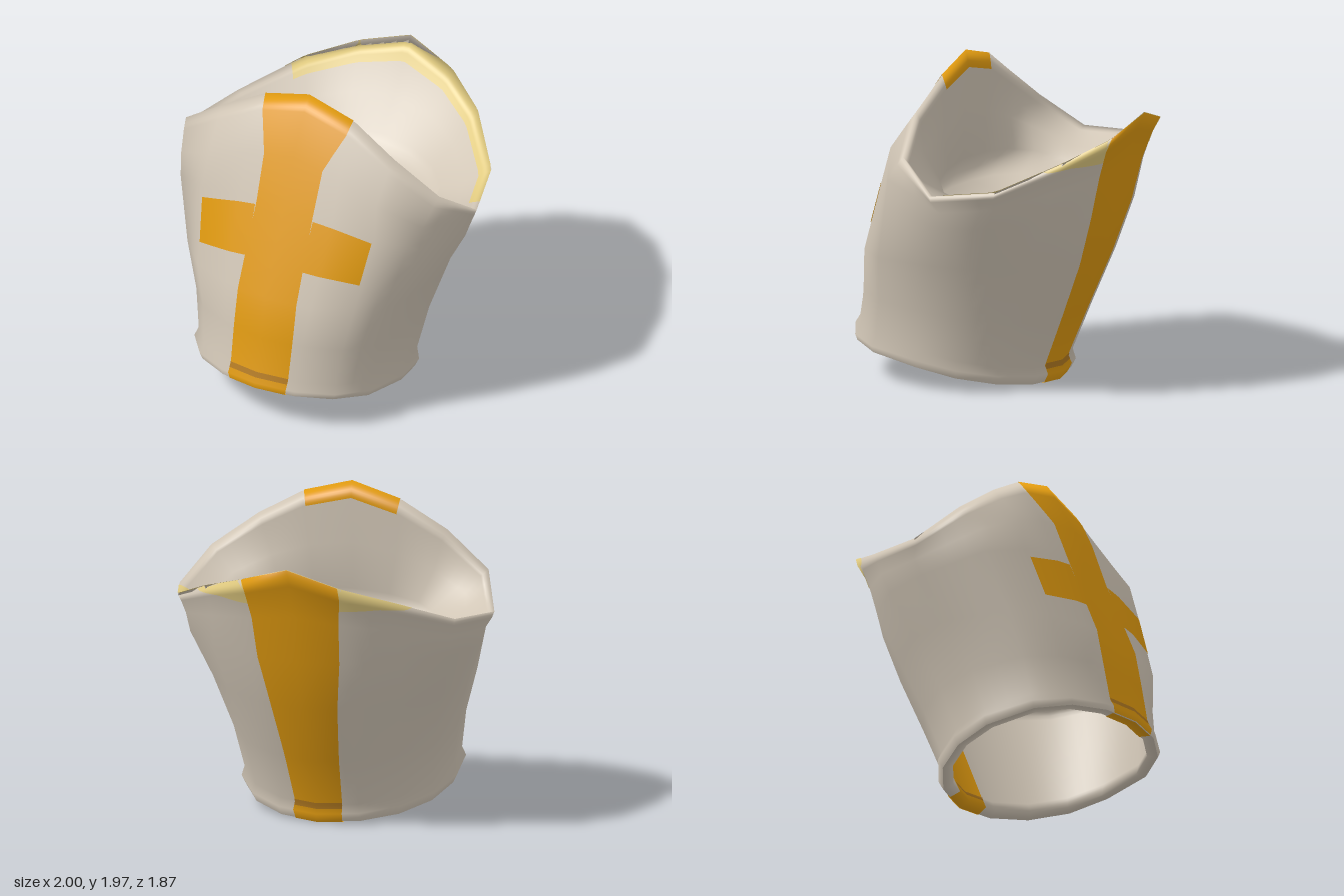
import * as THREE from 'three';

const N = 16; // sides of every ring; u = 0 front, 4 left, 8 back, 12 right
const { lerp } = THREE.MathUtils;

// Rim outline from front to back, as fractions of a ring's width, depth and rise
const RIM_X = [0, 0.32, 0.6, 0.88, 1, 0.88, 0.6, 0.32, 0];
const RIM_Z = [1, 1, 1.07, 0.86, 0, 0.41, 0.75, 0.94, 1];
const RIM_Y = [1, 0.86, 0.61, 0.29, 0, 0.1, 0.48, 0.74, 1];

// Ring: rim-likeness t, half width, side y/z, front y/z, back y/z
function ring([t, w, ys, zs, yf, zf, yb, zb]) {
  return Array.from({ length: N }, (_, i) => {
    const k = i > 8 ? N - i : i, a = (k * Math.PI) / 8, front = k <= 4;
    const c = Math.abs(Math.cos(a)) ** (front ? 0.75 : 1); // fuller at the front corners
    const x = w * lerp(Math.sin(a), RIM_X[k], t) * (i > 8 ? -1 : 1);
    const y = lerp(ys, front ? yf : yb, lerp(c, RIM_Y[k], t));
    const z = lerp(zs, front ? zf : zb, lerp(c, RIM_Z[k], t));
    return new THREE.Vector3(x, y, z);
  });
}

// Shell through the rings, sampled at (u, v) with smooth normals
function makeShell(rows) {
  const pts = rows.map(ring), pos = [], idx = [];
  pts.flat().forEach((p) => pos.push(p.x, p.y, p.z));
  for (let r = 0; r < rows.length - 1; r++) {
    for (let i = 0; i < N; i++) {
      const a = r * N + i, b = r * N + ((i + 1) % N);
      idx.push(a, b, b + N, a, b + N, a + N);
    }
  }
  const g = new THREE.BufferGeometry();
  g.setAttribute('position', new THREE.Float32BufferAttribute(pos, 3));
  g.setIndex(idx);
  g.computeVertexNormals();
  const pick = (attr, u, v) => {
    const uu = ((u % N) + N) % N, i = Math.floor(uu) % N, j = (i + 1) % N;
    const r = Math.min(Math.floor(v), rows.length - 2);
    const at = (row, col) => new THREE.Vector3().fromBufferAttribute(attr, row * N + col);
    const f = uu - Math.floor(uu);
    return at(r, i).lerp(at(r, j), f).lerp(at(r + 1, i).lerp(at(r + 1, j), f), v - r);
  };
  const sample = (u, v, lift) => {
    const n = pick(g.attributes.normal, u, v).normalize();
    return [pick(g.attributes.position, u, v).addScaledVector(n, lift), n];
  };
  return { sample, last: rows.length - 1 };
}

// Patch of a shell; map(s, t) gives [u, v] for s and t in 0..1
function patch(shell, map, ns, nt, lift = 0) {
  const pos = [], nor = [], idx = [];
  for (let j = 0; j <= nt; j++) {
    for (let i = 0; i <= ns; i++) {
      const [p, n] = shell.sample(...map(i / ns, j / nt), lift);
      pos.push(p.x, p.y, p.z);
      nor.push(n.x, n.y, n.z);
      if (i < ns && j < nt) {
        const a = j * (ns + 1) + i, b = a + ns + 1;
        idx.push(a, a + 1, b + 1, a, b + 1, b);
      }
    }
  }
  const g = new THREE.BufferGeometry();
  g.setAttribute('position', new THREE.Float32BufferAttribute(pos, 3));
  g.setAttribute('normal', new THREE.Float32BufferAttribute(nor, 3));
  g.setIndex(idx);
  return g;
}

// Stripe around column uc whose half width (in columns) is listed per row
const stripe = (uc, v0, v1, widths) => (s, t) => {
  const v = lerp(v0, v1, t), r = Math.min(Math.floor(v), widths.length - 2);
  return [uc + (2 * s - 1) * lerp(widths[r], widths[r + 1], v - r), v];
};

export function createModel() {
  const group = new THREE.Group();
  const mat = (name, color) =>
    Object.assign(new THREE.MeshStandardMaterial({ color, side: THREE.DoubleSide }), { name });
  const cloth = mat('warmGrey', 0xd0c5b5);
  const orange = mat('orange', 0xe09a10);
  const pale = mat('paleYellow', 0xe0ca80);
  const brown = mat('darkOrange', 0xb57c22);
  const add = (name, geometry, material) => {
    const m = new THREE.Mesh(geometry, material);
    m.name = name;
    group.add(m);
  };

  const bottom = [0, 0.64, 0.14, 0.28, 0.235, 0.925, 0.005, -0.355];

  // Outer wall (0-8), rim bevel (8-9) and the hollow inside the top (9-13)
  const outer = makeShell([
    bottom,
    [0, 0.665, 0.19, 0.28, 0.27, 0.93, 0.06, -0.385],
    [0, 0.645, 0.25, 0.27, 0.32, 0.9, 0.11, -0.36],
    [0.05, 0.69, 0.5, 0.21, 0.55, 0.855, 0.42, -0.49],
    [0.2, 0.79, 0.82, 0.1, 0.8, 0.8, 0.78, -0.64],
    [0.5, 0.92, 1.1, 0, 1.32, 0.58, 1.1, -0.745],
    [0.85, 0.945, 1.2, -0.04, 1.62, 0.47, 1.4, -0.81],
    [1, 0.985, 1.27, 0, 1.87, 0.335, 1.61, -0.875],
    [1, 1.0, 1.31, 0, 1.96, 0.28, 1.72, -0.93],
    [1, 0.95, 1.29, 0, 1.86, 0.262, 1.63, -0.87],
    [0.8, 0.83, 1.22, -0.02, 1.58, 0.29, 1.4, -0.74],
    [0.2, 0.64, 1.18, -0.1, 1.29, 0.29, 1.22, -0.57],
    [0.2, 0.6, 1.08, -0.08, 1.1, 0.38, 1.08, -0.48],
    [0, 0, 1.08, -0.08, 1.08, -0.08, 1.08, -0.08],
  ]);

  // Lining of the lower opening, from its ceiling down to the lip
  const lining = makeShell([
    [0, 0, 1.0, 0, 1.0, 0, 1.0, 0],
    [0.35, 0.83, 0.95, 0.03, 1.0, 0.68, 0.95, -0.67],
    [0.2, 0.765, 0.82, 0.1, 0.8, 0.775, 0.78, -0.61],
    [0.05, 0.665, 0.5, 0.21, 0.55, 0.825, 0.42, -0.46],
    [0, 0.6, 0.22, 0.28, 0.3, 0.87, 0.1, -0.325],
    [0, 0.58, 0.145, 0.28, 0.235, 0.86, 0.03, -0.29],
    bottom,
  ]);

  const whole = (shell) => patch(shell, (s, t) => [s * N, t * shell.last], 4 * N, 4 * shell.last);
  add('wallAndHollow', whole(outer), cloth);
  add('lowerLining', whole(lining), cloth);

  // Painted cross on the front, carried over the rim, and stripe on the back
  const frontWidths = [0.78, 0.78, 0.8, 0.77, 0.69, 0.6, 0.65, 0.92, 0.95, 0.95];
  const backWidths = [0.6, 0.6, 0.6, 0.65, 0.72, 0.8, 0.88, 0.95, 0.95];
  add('frontStripe', patch(outer, stripe(0, 0, 9, frontWidths), 16, 72, 0.006), orange);
  for (const [inner, end, drop] of [[0.62, 1.95, 0], [-0.62, -1.95, 0.08]]) {
    const [a, b] = end > 0 ? [inner, end] : [end, inner];
    const arm = (s, t) => {
      const u = lerp(a, b, s), sag = (drop * (Math.abs(u) - 0.62)) / 1.33;
      return [u, lerp(4.38, 4.96, t) - sag];
    };
    add('crossArm', patch(outer, arm, 16, 8, 0.006), orange);
  }
  add('backStripe', patch(outer, stripe(8, 0, 7.97, backWidths), 16, 64, 0.006), orange);

  // Stripes inside the lower opening, with darker hems in and out
  for (const [uc, half, outside] of [[0, 0.8, frontWidths], [8, 0.62, backWidths]]) {
    const inside = Array(7).fill(half);
    add('insideStripe', patch(lining, stripe(uc, 2, 6, inside), 16, 32, 0.005), orange);
    add('insideHem', patch(lining, stripe(uc, 4.02, 4.35, inside), 16, 3, 0.008), brown);
    add('outsideHem', patch(outer, stripe(uc, 1.6, 2.05, outside), 16, 5, 0.009), brown);
  }

  // Faded trim along the back rim
  add('rimTrim', patch(outer, (s, t) => [lerp(4.2, 10.2, s), 8 + 1.2 * t], 48, 12, 0.004), pale);
  add('outerTrim', patch(outer, (s, t) => {
    const depth = 1.6 * Math.sqrt(Math.sin(Math.PI * s));
    return [lerp(5.7, 10.3, s), lerp(8 - depth, 8, t)];
  }, 48, 12, 0.003), pale);

  return group;
}
